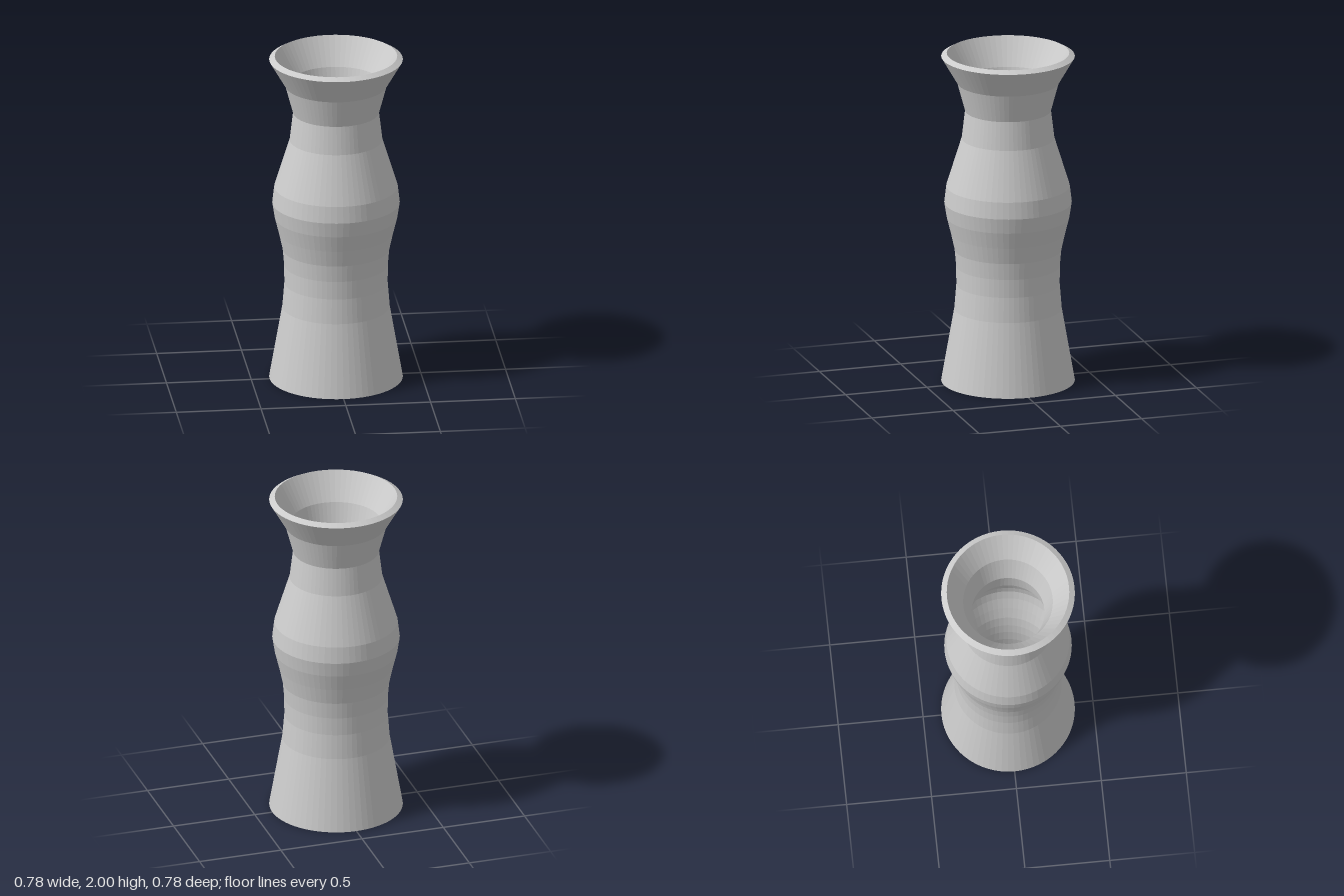
import * as THREE from 'three';

const WALL = 0.038;

// Outer silhouette from foot to lip: [radius, height]
const OUTER = [
  [0.392, 0], [0.343, 0.28], [0.315, 0.44], [0.303, 0.59], [0.304, 0.7], [0.313, 0.8],
  [0.335, 0.9], [0.36, 1.0], [0.374, 1.09], [0.362, 1.19], [0.272, 1.48], [0.252, 1.65],
  [0.298, 1.82], [0.392, 1.981],
].map(([r, y]) => new THREE.Vector2(r, y));

// Inner wall: every outer point moved inwards along its normal by the wall thickness
function insetProfile(points, thickness) {
  return points.map((p, i) => {
    const a = points[Math.max(i - 1, 0)];
    const b = points[Math.min(i + 1, points.length - 1)];
    const t = b.clone().sub(a).normalize();
    return new THREE.Vector2(p.x - t.y * thickness, p.y + t.x * thickness);
  });
}

export function createModel() {
  const group = new THREE.Group();
  group.name = 'vase';

  const inner = insetProfile(OUTER, WALL);
  inner[0].y = WALL; // inside floor
  inner[inner.length - 1].y = 2; // raised inner edge of the lip

  // Closed shell: base, outer wall, lip, inner wall, inside floor
  const profile = [
    new THREE.Vector2(0, 0),
    ...OUTER,
    ...inner.reverse(),
    new THREE.Vector2(0, WALL),
  ];
  const body = new THREE.Mesh(
    new THREE.LatheGeometry(profile, 64),
    new THREE.MeshStandardMaterial({ color: 0xcccccc, flatShading: true }),
  );
  body.name = 'vaseBody';
  group.add(body);
  return group;
}
